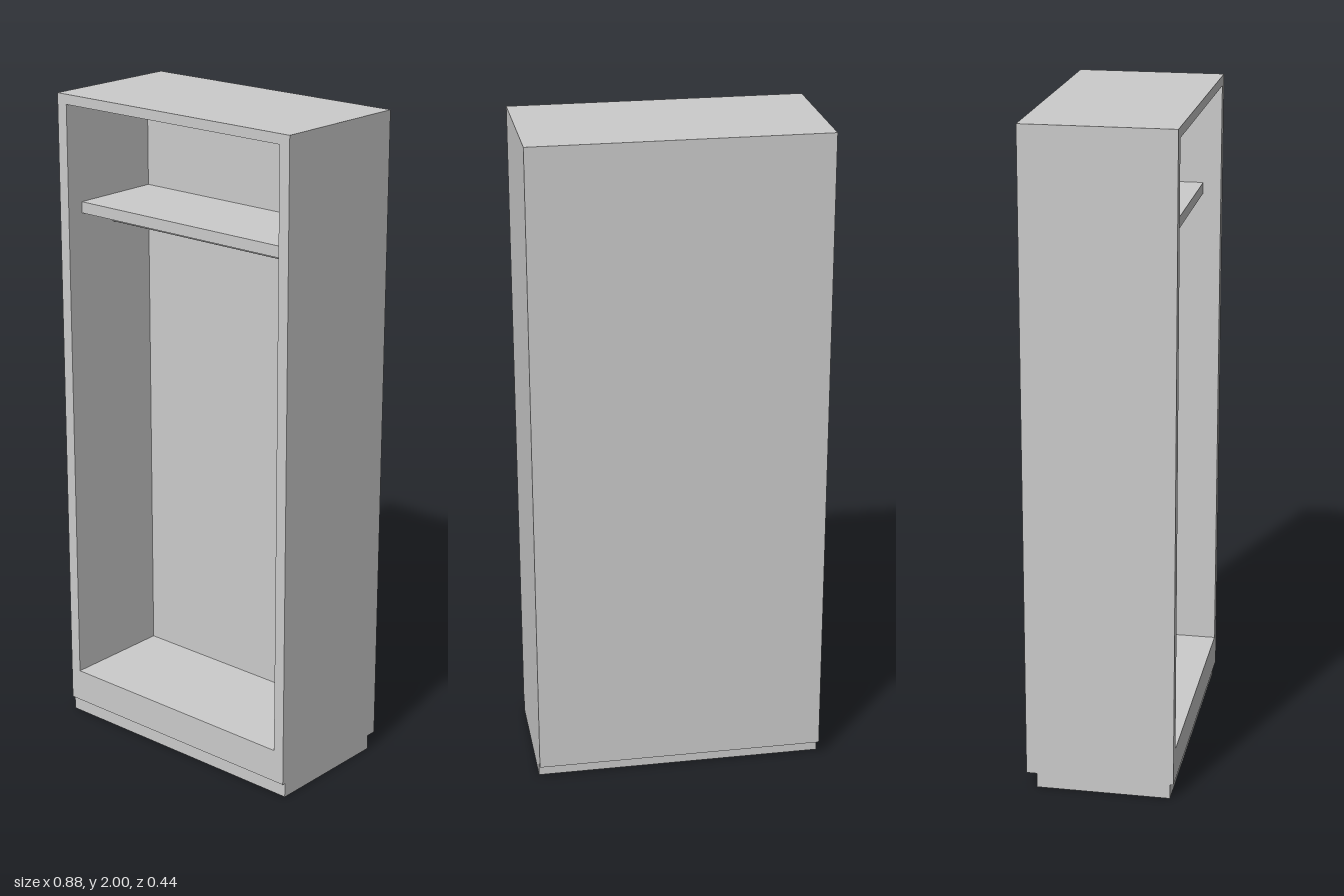
import * as THREE from 'three';

const W = 0.876, TOP = 2, BASE = 0.045;      // outer body
const FRONT = 0.222, BACK = -0.222, INNER_BACK = -0.123;
const IN_W = 0.806, IN_BOTTOM = 0.147, IN_TOP = 1.97; // opening

const material = new THREE.MeshStandardMaterial({ color: 0xcccccc });

function rectangle(Path, x, y0, y1) {
  const path = new Path();
  path.moveTo(-x, y0).lineTo(x, y0).lineTo(x, y1).lineTo(-x, y1).closePath();
  return path;
}

export function createModel() {
  const group = new THREE.Group();
  group.name = 'wardrobe';

  const add = (name, geometry) => {
    const mesh = new THREE.Mesh(geometry, material);
    mesh.name = name;
    group.add(mesh);
    return mesh;
  };
  // Box given by its width and its y and z limits
  const addBox = (name, w, y0, y1, z0, z1) => {
    const mesh = add(name, new THREE.BoxGeometry(w, y1 - y0, z1 - z0));
    mesh.position.set(0, (y0 + y1) / 2, (z0 + z1) / 2);
    return mesh;
  };

  // Carcass: sides, top and raised floor around the opening
  const outline = rectangle(THREE.Shape, W / 2, BASE, TOP);
  outline.holes.push(rectangle(THREE.Path, IN_W / 2, IN_BOTTOM, IN_TOP));
  const carcass = add('carcass', new THREE.ExtrudeGeometry(outline, {
    depth: FRONT - INNER_BACK, bevelEnabled: false,
  }));
  carcass.position.z = INNER_BACK;

  addBox('backPanel', W, BASE, TOP, BACK, INNER_BACK);
  addBox('plinth', W, 0, BASE, -0.19, 0.212);

  // Shelf, set back from the front
  addBox('shelf', IN_W, 1.636, 1.67, INNER_BACK, 0.167);

  // Hanging rail under the shelf
  const rail = add('hangingRail', new THREE.CylinderGeometry(0.01, 0.01, IN_W, 24));
  rail.rotation.z = Math.PI / 2;
  rail.position.set(0, 1.594, 0.03);

  return group;
}
